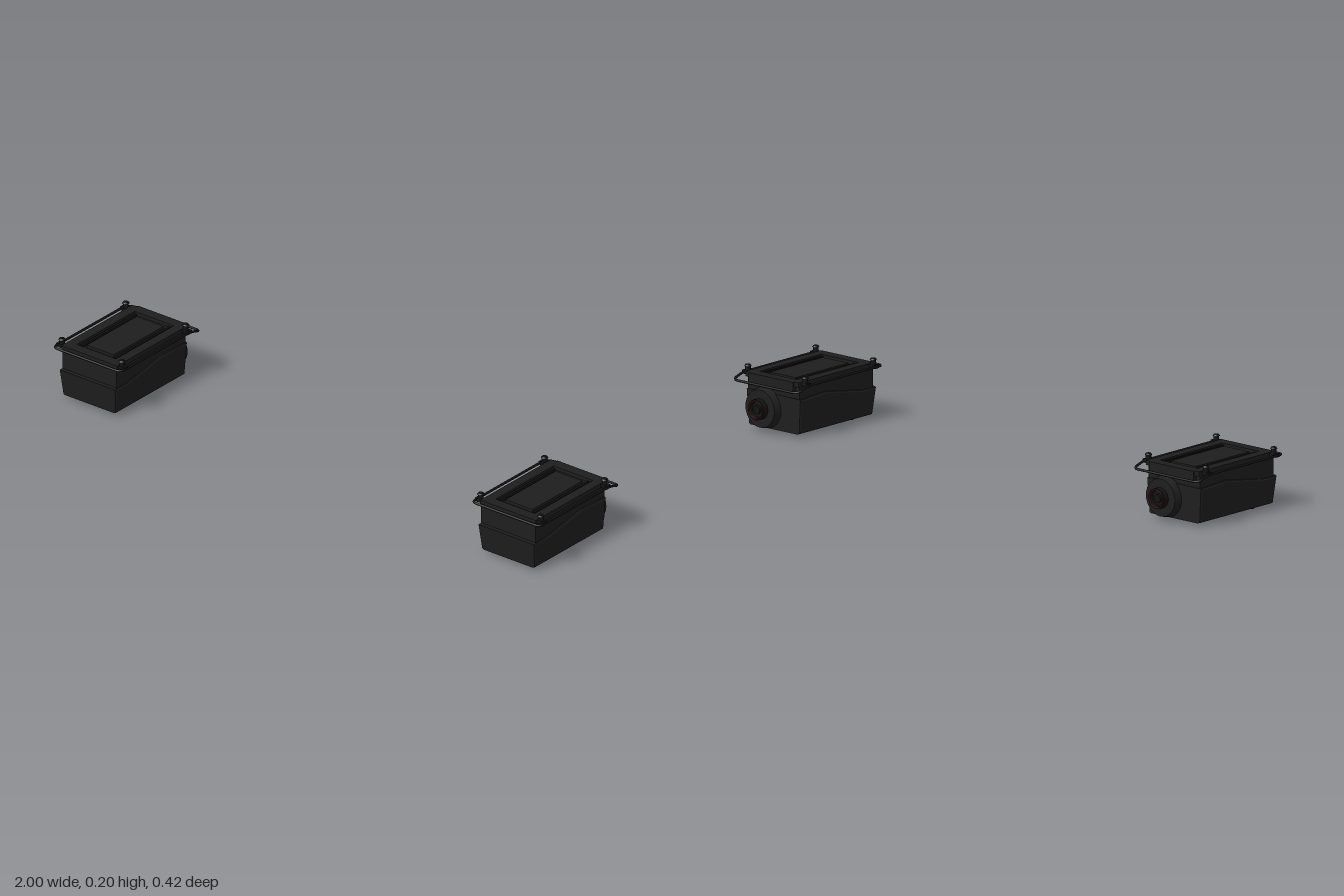
import * as THREE from 'three';

const mat = (name, color) => {
  const m = new THREE.MeshStandardMaterial({ color });
  m.name = name;
  return m;
};

export function createModel() {
  const body = mat('charcoal', 0x1e1e1e);
  const trim = mat('black', 0x131313);
  const red = mat('darkRed', 0x6a0c0c);

  const add = (group, name, geo, material, x = 0, y = 0, z = 0) => {
    const m = new THREE.Mesh(geo, material);
    m.name = name;
    m.position.set(x, y, z);
    group.add(m);
    return m;
  };
  const box = (w, h, d) => new THREE.BoxGeometry(w, h, d);
  const pts = (list) => list.map(([a, b]) => new THREE.Vector2(a, b));

  // Side outline given as [z, y], extruded across x with chamfered edges
  const sideExtrude = (outline, width, chamfer) => {
    const geo = new THREE.ExtrudeGeometry(new THREE.Shape(pts(outline)), {
      depth: width - 2 * chamfer, bevelEnabled: chamfer > 0, bevelThickness: chamfer,
      bevelSize: chamfer * 0.7, bevelOffset: -chamfer * 0.7, bevelSegments: 2,
    });
    geo.translate(0, 0, -(width - 2 * chamfer) / 2);
    return geo.rotateY(-Math.PI / 2);
  };

  // Profile given as [radius, distance toward the back], turned about z
  const backLathe = (profile, segments = 32) =>
    new THREE.LatheGeometry(pts(profile), segments).rotateX(-Math.PI / 2);

  // Closed loop with rounded corners
  const roundedLoop = (corners, r) => {
    const path = new THREE.CurvePath();
    const v = corners.map((c) => new THREE.Vector3(...c));
    const n = v.length;
    const toward = (a, b) => a.clone().add(b.clone().sub(a).setLength(r));
    for (let i = 0; i < n; i++) {
      const prev = v[(i + n - 1) % n], cur = v[i], next = v[(i + 1) % n];
      path.add(new THREE.QuadraticBezierCurve3(toward(cur, prev), cur, toward(cur, next)));
      path.add(new THREE.LineCurve3(toward(cur, next), toward(next, cur)));
    }
    return path;
  };

  const makeCase = () => {
    const g = new THREE.Group();

    // Lower shell, narrowing toward the base
    const shell = sideExtrude([
      [0.191, 0.013], [0.203, 0.105], [0.135, 0.107], [-0.04, 0.136], [-0.165, 0.13], [-0.162, 0.013],
    ].reverse(), 0.236, 0.01);
    const p = shell.attributes.position;
    for (let i = 0; i < p.count; i++) p.setX(i, p.getX(i) * (1 - 0.6 * (0.13 - p.getY(i))));
    shell.computeVertexNormals();
    add(g, 'lowerShell', shell, body);

    // Upper body and rear lip under the lid
    add(g, 'upperBody', box(0.222, 0.12, 0.352), body, 0, 0.115, 0.014);
    add(g, 'rearLip', box(0.19, 0.032, 0.02), body, 0, 0.171, -0.167);

    // Lid: open rim, recessed floor and raised panel
    const rim = new THREE.Shape(pts([[-0.114, -0.192], [0.114, -0.192], [0.114, 0.17], [-0.114, 0.17]]));
    rim.holes.push(new THREE.Path(pts([[-0.08, -0.155], [-0.08, 0.14], [0.08, 0.14], [0.08, -0.155]])));
    const rimGeo = new THREE.ExtrudeGeometry(rim, { depth: 0.016, bevelEnabled: false });
    add(g, 'lidRim', rimGeo.rotateX(-Math.PI / 2), body, 0, 0.171, 0);
    add(g, 'lidPanel', box(0.11, 0.01, 0.255), body, 0, 0.18, 0.008);
    for (const s of [-1, 1]) add(g, 'lidRib', box(0.008, 0.01, 0.28), trim, s * 0.069, 0.179, 0.008);

    // Round motor housing bulging through the base and back
    add(g, 'motorHousing', backLathe([
      [0, 0.03], [0.066, 0.04], [0.074, 0.07], [0.076, 0.09], [0.075, 0.12], [0.068, 0.163], [0.068, 0.163],
      [0.062, 0.189], [0.062, 0.189], [0, 0.189],
    ]), body, 0.035, 0.08, 0);

    // Rear outlet with stepped face
    add(g, 'rearOutlet', backLathe([
      [0.034, 0.18], [0.034, 0.209], [0.034, 0.209], [0.027, 0.209], [0.027, 0.209],
      [0.025, 0.198], [0.025, 0.198], [0.014, 0.198], [0.014, 0.198], [0.013, 0.205], [0.013, 0.205], [0, 0.205],
    ]), trim, 0.035, 0.08, 0);
    add(g, 'outletRing', new THREE.TorusGeometry(0.029, 0.0015, 6, 32), red, 0.035, 0.08, -0.209);

    // Tubular guard frame, dipping at the back
    const frame = roundedLoop([
      [-0.138, 0.178, 0.205], [0.138, 0.178, 0.205], [0.138, 0.178, -0.155],
      [0.138, 0.162, -0.203], [-0.138, 0.162, -0.203], [-0.138, 0.178, -0.155],
    ], 0.02);
    add(g, 'guardFrame', new THREE.TubeGeometry(frame, 180, 0.0042, 8, true), trim);

    // Frame clamps with knobs
    for (const x of [-1, 1]) for (const z of [0.177, -0.148]) {
      add(g, 'clamp', box(0.036, 0.012, 0.018), trim, x * 0.122, 0.179, z);
      add(g, 'knobStem', new THREE.CylinderGeometry(0.009, 0.009, 0.02, 16), trim, x * 0.123, 0.192, z);
      add(g, 'knobCap', new THREE.CylinderGeometry(0.008, 0.012, 0.005, 16), trim, x * 0.123, 0.2025, z);
    }

    // Front feet
    for (const x of [-0.07, 0.07]) {
      add(g, 'foot', new THREE.CylinderGeometry(0.01, 0.008, 0.014, 16), trim, x, 0.009, 0.13);
    }
    return g;
  };

  const model = new THREE.Group();
  model.name = 'casePair';
  for (const [name, x] of [['rightCase', -0.858], ['leftCase', 0.858]]) {
    const c = makeCase();
    c.name = name;
    c.position.set(x, -0.002, 0);
    model.add(c);
  }
  return model;
}
